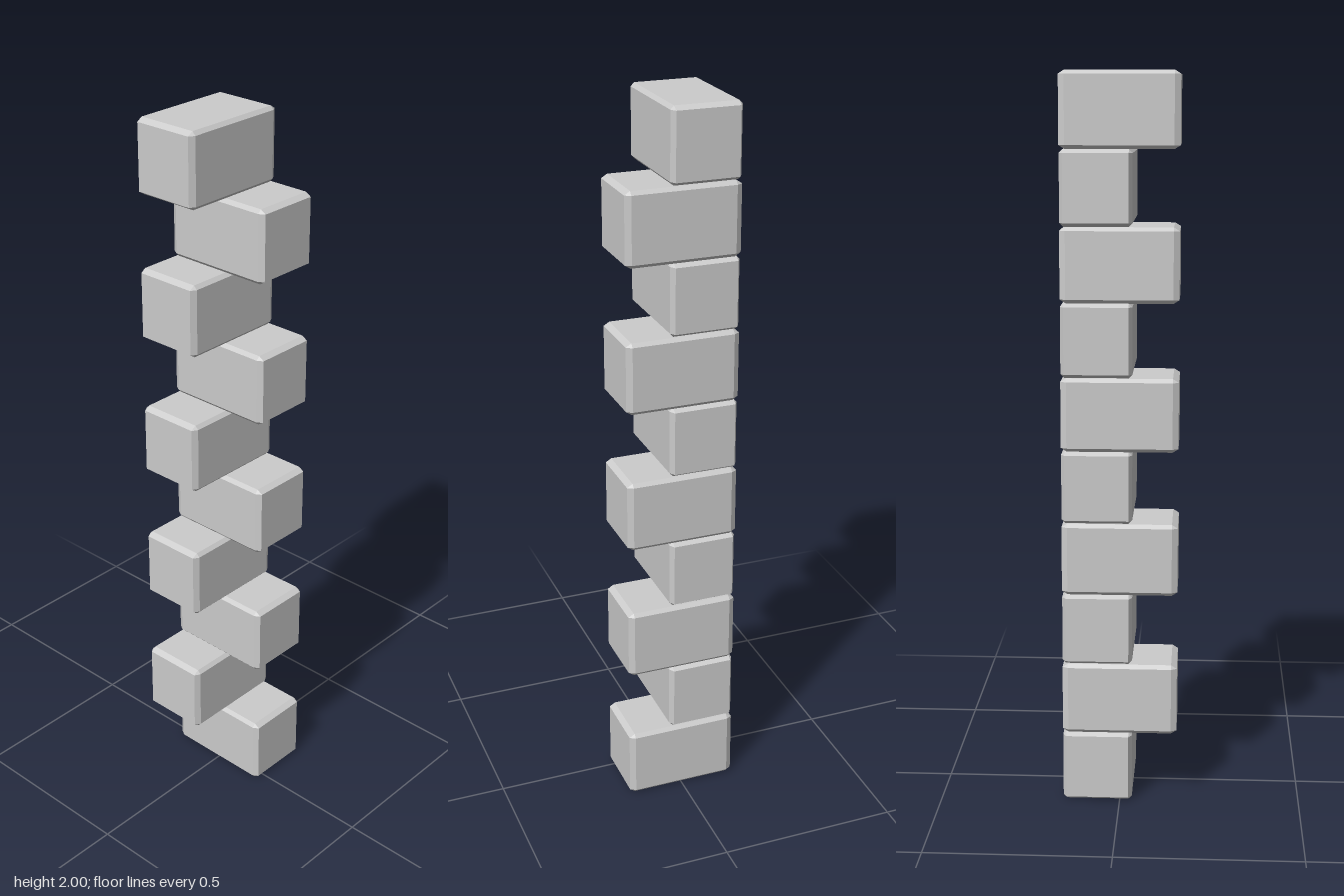
import * as THREE from 'three';
import { ConvexGeometry } from 'three/addons/geometries/ConvexGeometry.js';

// Unit cube with every edge and corner chamfered
function chamferedCube(inset) {
  const points = [];
  const a = 0.5, b = 0.5 - inset;
  for (const sx of [-1, 1]) for (const sy of [-1, 1]) for (const sz of [-1, 1]) {
    points.push(
      new THREE.Vector3(sx * a, sy * b, sz * b),
      new THREE.Vector3(sx * b, sy * a, sz * b),
      new THREE.Vector3(sx * b, sy * b, sz * a)
    );
  }
  return new ConvexGeometry(points);
}

export function createModel() {
  const group = new THREE.Group();
  group.name = 'cornerStones';
  const material = new THREE.MeshStandardMaterial({ color: 0xcccccc, flatShading: true });
  const stone = chamferedCube(0.05);

  const count = 10, height = 0.2, long = 0.316, short = 0.192;
  const offset = (long - short) / 2;

  // Stones alternate direction and share the back left corner
  for (let i = 0; i < count; i++) {
    const alongX = i % 2 === 1;
    const mesh = new THREE.Mesh(stone, material);
    mesh.name = alongX ? 'sidewaysStone' : 'forwardStone';
    mesh.scale.set(alongX ? long : short, height, alongX ? short : long);
    mesh.position.set(alongX ? 0 : offset, (i + 0.5) * height, alongX ? -offset : 0);
    group.add(mesh);
  }
  return group;
}
